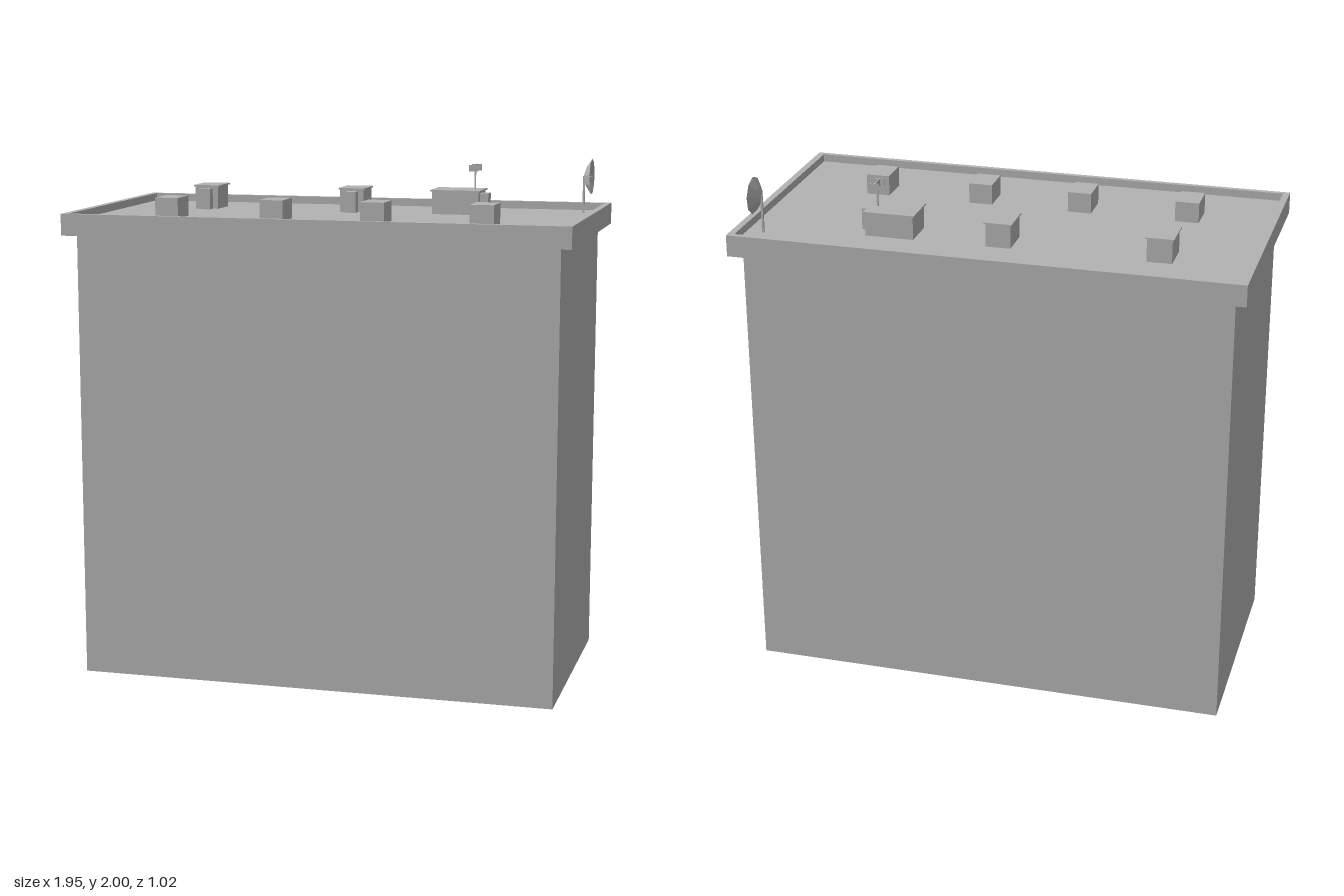
import * as THREE from 'three';

export function createModel() {
  const model = new THREE.Group();
  const grey = new THREE.MeshStandardMaterial({ color: 0xb2b2b2 });
  grey.name = 'concreteGrey';
  const greySheet = new THREE.MeshStandardMaterial({ color: 0xb2b2b2, side: THREE.DoubleSide, flatShading: true });
  greySheet.name = 'dishGrey';

  const FLOOR = 1.785; // roof deck height

  // Box standing on height y
  function box(parent, name, w, h, d, x, y, z) {
    const mesh = new THREE.Mesh(new THREE.BoxGeometry(w, h, d), grey);
    mesh.name = name;
    mesh.position.set(x, y + h / 2, z);
    parent.add(mesh);
    return mesh;
  }

  // Main block and overhanging roof slab
  box(model, 'buildingBlock', 1.862, 1.732, 0.93, 0, 0, 0);
  box(model, 'roofSlab', 1.954, FLOOR - 1.732, 1.022, 0, 1.732, 0);

  // Low wall around the roof, a frame with a rectangular hole
  const rectangle = (path, x, z) => path.moveTo(-x, -z).lineTo(x, -z).lineTo(x, z).lineTo(-x, z).closePath();
  const frame = rectangle(new THREE.Shape(), 0.977, 0.511);
  frame.holes.push(rectangle(new THREE.Path(), 0.951, 0.49));
  const parapet = new THREE.Mesh(
    new THREE.ExtrudeGeometry(frame, { depth: 1.815 - FLOOR, bevelEnabled: false }), grey);
  parapet.name = 'parapet';
  parapet.rotation.x = -Math.PI / 2;
  parapet.position.y = FLOOR;
  model.add(parapet);

  // Row of plain ventilation boxes
  for (const x of [-0.634, -0.213, 0.183, 0.603]) {
    box(model, 'ventBox', 0.092, 1.864 - FLOOR, 0.125, x, FLOOR, 0.217);
  }

  // Roof sheds with a thin lid and a small porch
  function shed(name, x, z, w, d) {
    const group = new THREE.Group();
    group.name = name;
    box(group, 'shedWalls', w - 0.012, 1.874 - FLOOR, d - 0.012, x, FLOOR, z);
    box(group, 'shedLid', w, 0.006, d, x, 1.874, z);
    model.add(group);
    return group;
  }
  for (const x of [-0.619, -0.012]) {
    const group = shed('stairShed', x, -0.231, 0.107, 0.144);
    box(group, 'porch', 0.05, 1.868 - FLOOR, 0.038, x, FLOOR, -0.15);
  }
  const plant = shed('plantShed', 0.409, -0.231, 0.199, 0.152);
  box(plant, 'porch', 0.036, 1.868 - FLOOR, 0.052, 0.518, FLOOR, -0.213);

  // Antenna: post carrying a web with two end plates
  const antenna = new THREE.Group();
  antenna.name = 'antenna';
  box(antenna, 'antennaPost', 0.006, 0.09, 0.006, 0.475, 1.879, -0.229);
  box(antenna, 'antennaWeb', 0.004, 0.026, 0.064, 0.475, 1.952, -0.229);
  for (const side of [-1, 1]) {
    box(antenna, 'antennaPlate', 0.038, 0.026, 0.004, 0.475, 1.952, -0.229 + side * 0.031);
  }
  model.add(antenna);

  // Satellite dish opening towards +x on a thin post
  const satellite = new THREE.Group();
  satellite.name = 'satelliteDish';
  box(satellite, 'dishPost', 0.008, 1.93 - FLOOR, 0.008, 0.886, FLOOR, -0.366);
  const profile = [[0, 0], [0.037, 0.011], [0.0715, 0.033]].map(([r, y]) => new THREE.Vector2(r, y));
  const dish = new THREE.Mesh(new THREE.LatheGeometry(profile, 9, -Math.PI / 2), greySheet);
  dish.name = 'dishBowl';
  dish.rotation.z = -Math.PI / 2;
  dish.position.set(0.884, 1.9285, -0.366);
  satellite.add(dish);
  // Receiver at the bowl's focus
  const feed = new THREE.Mesh(new THREE.CylinderGeometry(0.002, 0.002, 0.03, 6), grey);
  feed.name = 'dishReceiver';
  feed.rotation.z = -Math.PI / 2;
  feed.position.set(0.9, 1.9285, -0.366);
  satellite.add(feed);
  model.add(satellite);

  return model;
}
